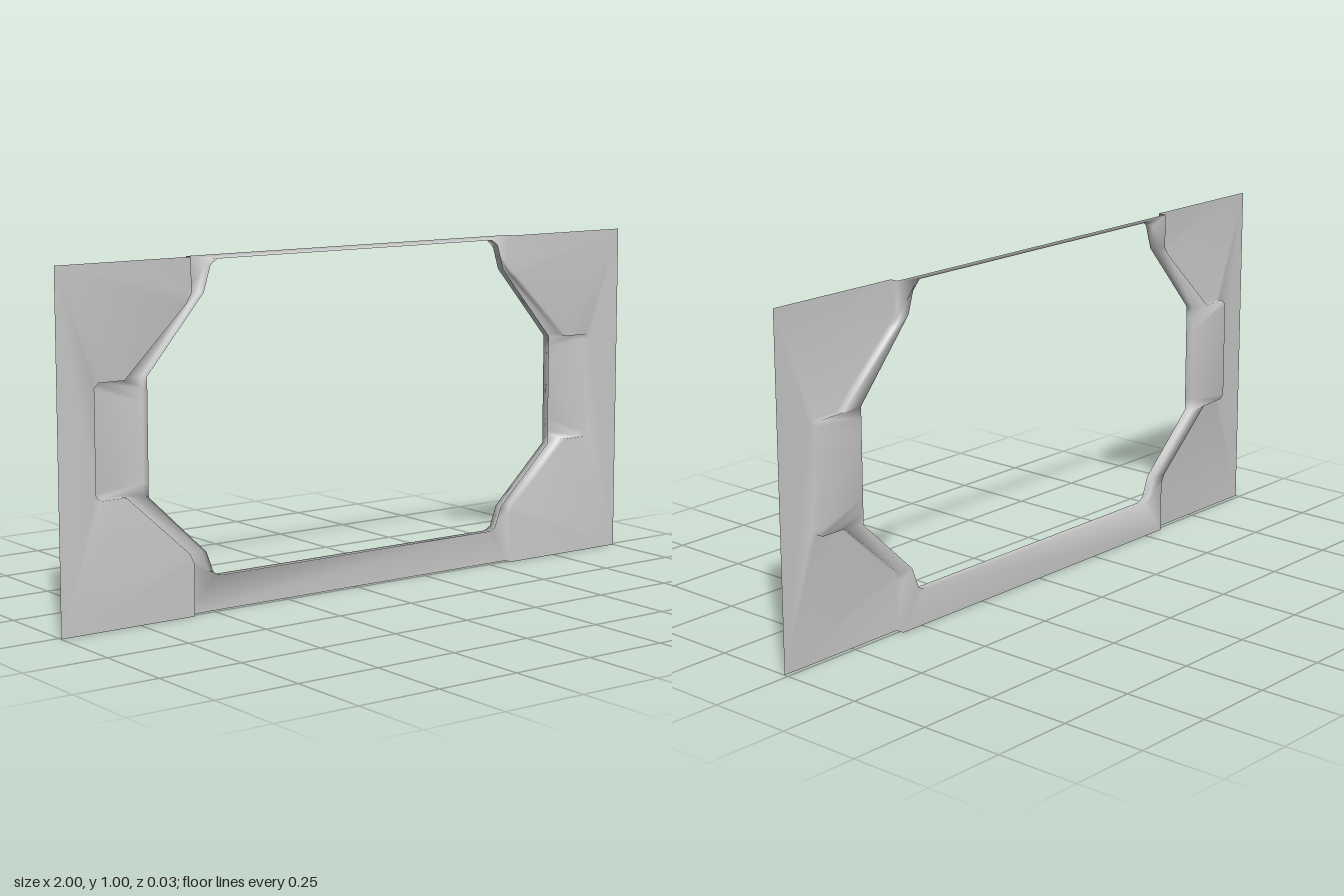
import * as THREE from 'three';

const FRONT = 0.0125, BACK = -0.0125;

// Lower right quarter of the stepped outline and of the opening, bottom to middle
const stepLow = [[0.575, 0], [0.575, 0.15], [0.588, 0.178], [0.79, 0.36], [0.872, 0.36], [0.885, 0.375]];
const holeLow = [[0.49, 0.105], [0.512, 0.117], [0.535, 0.178], [0.72, 0.353], [0.72, 0.39], [0.72, 0.43]];
// Upper right quarter, middle to top
const stepHigh = [[0.885, 0.665], [0.872, 0.68], [0.79, 0.68], [0.59, 0.875], [0.575, 0.9], [0.575, 1]];
const holeHigh = [[0.72, 0.61], [0.72, 0.65], [0.72, 0.685], [0.535, 0.9], [0.512, 0.975], [0.49, 0.99]];
// Outer corners, repeated so that every ring has the same number of points
const rimLow = stepLow.map(() => [1, 0]);
const rimHigh = stepHigh.map(() => [1, 1]);

// Closed ring: up the right side, then mirrored down the left side
function ring(low, high) {
  const right = [...low, ...high];
  return [...right, ...right.map(([x, y]) => [-x, y]).reverse()];
}

export function createModel() {
  const group = new THREE.Group();
  const material = new THREE.MeshStandardMaterial({ color: 0xcccccc, side: THREE.DoubleSide });

  // Cross-sections from the outer rim inwards
  const step = ring(stepLow, stepHigh), hole = ring(holeLow, holeHigh);
  const layers = [
    [ring(rimLow, rimHigh), FRONT], [step, FRONT], [step, BACK], [hole, BACK], [hole, FRONT],
  ];
  const n = step.length, half = n / 2;
  const positions = layers.flatMap(([pts, z]) => pts.flatMap(([x, y]) => [x, y, z]));

  // Skin between two neighbouring layers; open bands skip the top and bottom spans
  function band(layer, closed) {
    const index = [];
    for (let i = 0; i < n; i++) {
      if (!closed && (i + 1) % half === 0) continue;
      const j = (i + 1) % n;
      const a = layer * n + i, b = layer * n + j, c = b + n, d = a + n;
      index.push(a, b, c, a, c, d);
    }
    return index;
  }

  const parts = {
    sidePanels: band(0, false),
    stepWalls: band(1, false),
    recessedFrame: band(2, true),
    openingLip: band(3, true),
  };

  // Normals are shared by all parts, so the shading flows across the seams
  const whole = new THREE.BufferGeometry();
  whole.setAttribute('position', new THREE.Float32BufferAttribute(positions, 3));
  whole.setIndex(Object.values(parts).flat());
  whole.computeVertexNormals();

  for (const [name, index] of Object.entries(parts)) {
    const geometry = new THREE.BufferGeometry();
    geometry.setAttribute('position', whole.attributes.position);
    geometry.setAttribute('normal', whole.attributes.normal);
    geometry.setIndex(index);
    const mesh = new THREE.Mesh(geometry, material);
    mesh.name = name;
    group.add(mesh);
  }
  return group;
}
